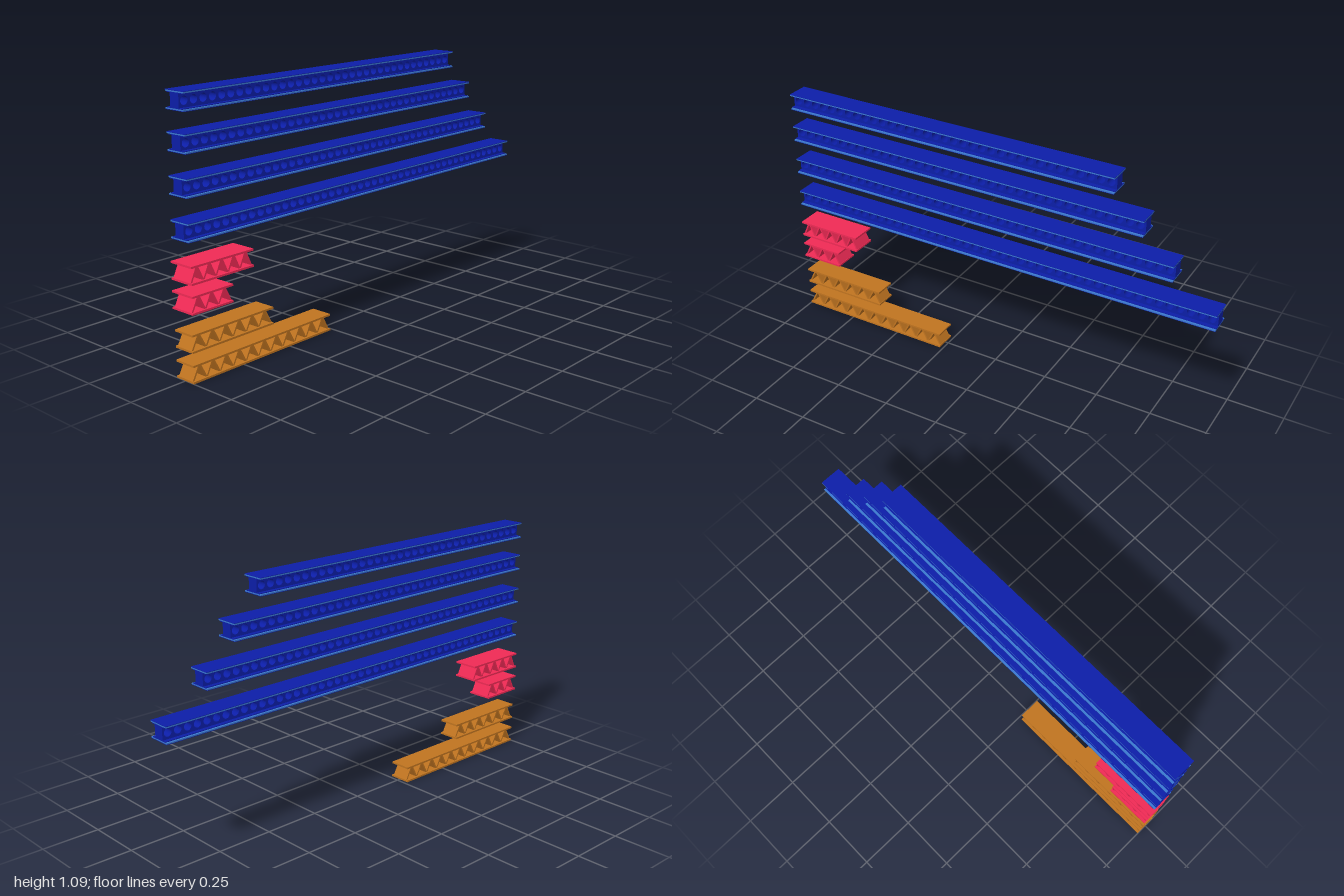
import * as THREE from 'three';

const HEIGHT = 0.072;
const START = -1; // all beams share the same left end

const mat = (color) => new THREE.MeshStandardMaterial({ color, flatShading: true });
const blue = mat(0x0c1ea8), paleBlue = mat(0x3a78d0);
const red = mat(0xf02a55), orange = mat(0xc07420);

function box(parent, name, material, w, h, d, x, y, z = 0) {
  const mesh = new THREE.Mesh(new THREE.BoxGeometry(w, h, d), material);
  mesh.name = name;
  mesh.position.set(x, y, z);
  parent.add(mesh);
  return mesh;
}

// I-beam with a thick web pierced by a row of round holes
function piercedBeam(length, y) {
  const beam = new THREE.Group();
  beam.name = 'piercedBeam';
  beam.position.set(START, y, 0);
  const cx = length / 2, mid = HEIGHT / 2;

  // flanges: skin, pale edge band and a narrower inner step
  for (const s of [-1, 1]) {
    const at = (d) => mid + s * (mid - d);
    box(beam, 'flangeSkin', blue, length, 0.002, 0.098, cx, at(0.001));
    box(beam, 'flangeEdge', paleBlue, length, 0.005, 0.098, cx, at(0.0045));
    box(beam, 'flangeStep', blue, length, 0.003, 0.08, cx, at(0.0085));
  }

  // web with holes
  const bottom = 0.009, top = HEIGHT - 0.009;
  const web = new THREE.Shape([
    new THREE.Vector2(0, bottom), new THREE.Vector2(length, bottom),
    new THREE.Vector2(length, top), new THREE.Vector2(0, top),
  ]);
  const count = Math.round(length / 0.044), margin = 0.024;
  const pitch = (length - 2 * margin) / (count - 1);
  for (let i = 0; i < count; i++) {
    const hole = new THREE.Path();
    hole.absarc(margin + i * pitch, mid, 0.0165, 0, Math.PI * 2, true);
    web.holes.push(hole);
  }
  const geometry = new THREE.ExtrudeGeometry(web, { depth: 0.046, bevelEnabled: false, curveSegments: 16 });
  geometry.translate(0, 0, -0.023);
  const mesh = new THREE.Mesh(geometry, blue);
  mesh.name = 'web';
  beam.add(mesh);
  return beam;
}

// Two flat flanges joined by a folded zigzag sheet
function zigzagBeam(length, y, folds, width, webWidth, material) {
  const beam = new THREE.Group();
  beam.name = 'zigzagBeam';
  beam.position.set(START, y, 0);
  const flange = 0.008, thick = 0.007;
  for (const fy of [flange / 2, HEIGHT - flange / 2])
    box(beam, 'flange', material, length, flange, width, length / 2, fy);

  const inset = 0.004;
  const run = (length - 2 * inset) / (folds * 2);
  const rise = HEIGHT - flange;
  for (let i = 0; i < folds * 2; i++) {
    const slat = box(beam, 'slat', material, Math.hypot(run, rise) - 0.003, thick, webWidth,
      inset + (i + 0.5) * run, HEIGHT / 2);
    slat.rotation.z = Math.atan2(rise, run) * (i % 2 ? -1 : 1);
  }
  return beam;
}

export function createModel() {
  const model = new THREE.Group();
  model.name = 'beamSet';

  for (const [length, y] of [[2, 0.54], [1.81, 0.703], [1.675, 0.863], [1.545, 1.014]])
    model.add(piercedBeam(length, y));

  model.add(
    zigzagBeam(0.305, 0.382, 5, 0.114, 0.096, red),
    zigzagBeam(0.198, 0.269, 3, 0.114, 0.096, red),
    zigzagBeam(0.41, 0.119, 6, 0.097, 0.079, orange),
    zigzagBeam(0.735, 0, 11, 0.097, 0.079, orange),
  );
  return model;
}
